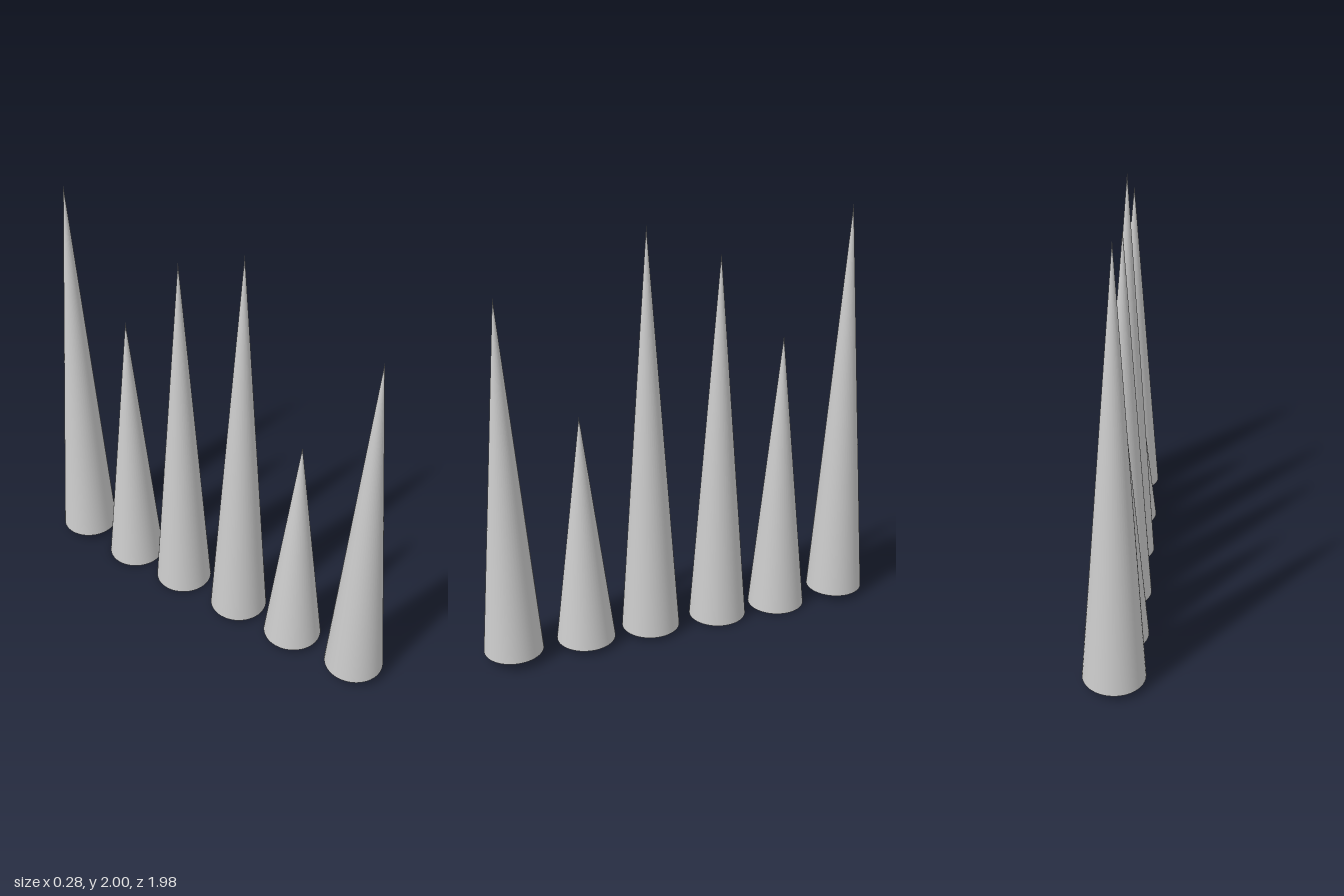
import * as THREE from 'three';

// Each spike: centre z, base height, tip height
const SPIKES = [
  [0.85, 0.04, 1.73],
  [0.495, 0.025, 1.15],
  [0.165, 0.02, 1.98],
  [-0.19, 0.005, 1.83],
  [-0.515, 0, 1.41],
  [-0.85, 0.03, 2],
];
const RADIUS = 0.14;

export function createModel() {
  const model = new THREE.Group();
  model.name = 'spikeRow';
  const material = new THREE.MeshStandardMaterial({ color: 0xcccccc });

  // Row of closed cones from front to back
  SPIKES.forEach(([z, base, tip], i) => {
    const height = tip - base;
    const spike = new THREE.Mesh(new THREE.ConeGeometry(RADIUS, height, 48), material);
    spike.name = `spike${i + 1}`;
    spike.position.set(0, base + height / 2, z);
    model.add(spike);
  });
  return model;
}
